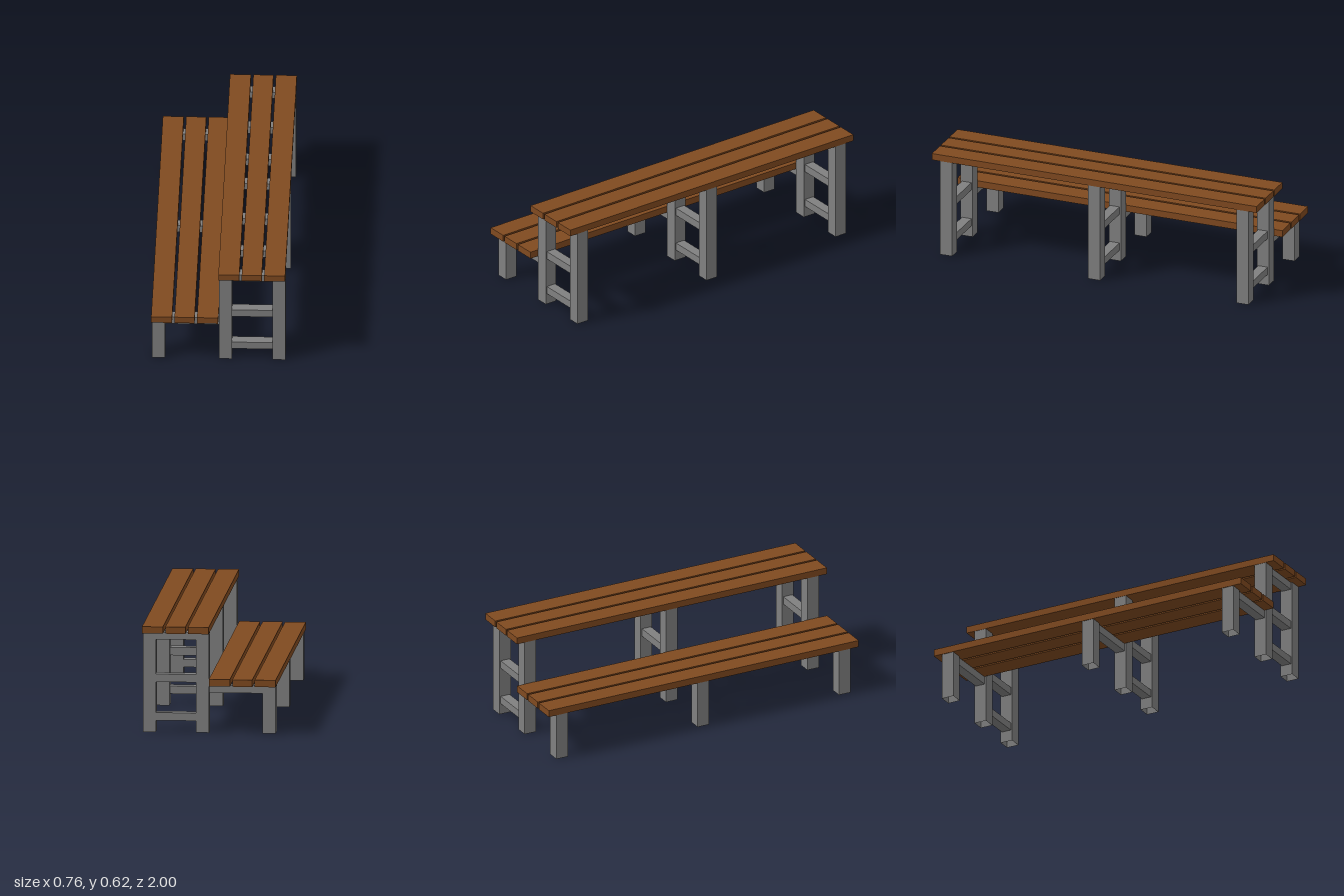
import * as THREE from 'three';

export function createModel() {
  const model = new THREE.Group();
  model.name = 'steppedBench';

  const wood = new THREE.MeshStandardMaterial({ color: 0x804a20 });
  wood.name = 'brown wood';
  const metal = new THREE.MeshStandardMaterial({ color: 0x808080, side: THREE.DoubleSide });
  metal.name = 'grey metal';

  // Box given by its x and y limits, centre z and depth
  function bar(parent, name, material, x0, x1, y0, y1, z, depth) {
    const mesh = new THREE.Mesh(new THREE.BoxGeometry(x1 - x0, y1 - y0, depth), material);
    mesh.position.set((x0 + x1) / 2, (y0 + y1) / 2, z);
    mesh.name = name;
    parent.add(mesh);
  }

  // Square hollow leg, open at its ends
  const legWidth = 0.074;
  function leg(parent, name, x, height) {
    const r = legWidth / Math.SQRT2;
    const geometry = new THREE.CylinderGeometry(r, r, height, 4, 1, true)
      .rotateY(Math.PI / 4).toNonIndexed();
    geometry.computeVertexNormals();
    const mesh = new THREE.Mesh(geometry, metal);
    mesh.position.set(x, height / 2, 0);
    mesh.name = name;
    parent.add(mesh);
  }

  // Three planks for each level
  const levels = [
    { name: 'lowerPlank', y0: 0.276, y1: 0.316, spans: [[-0.382, -0.263], [-0.249, -0.135], [-0.121, -0.001]] },
    { name: 'upperPlank', y0: 0.576, y1: 0.615, spans: [[0, 0.119], [0.133, 0.247], [0.261, 0.38]] },
  ];
  for (const { name, y0, y1, spans } of levels) {
    for (const [x0, x1] of spans) bar(model, name, wood, x0, x1, y0, y1, 0, 2);
  }

  // Three support frames along the length
  for (const z of [-0.912, 0, 0.912]) {
    const frame = new THREE.Group();
    frame.name = 'supportFrame';
    frame.position.z = z;
    leg(frame, 'lowerLeg', -0.341, 0.276);
    leg(frame, 'innerLeg', 0.039, 0.576);
    leg(frame, 'outerLeg', 0.343, 0.576);
    bar(frame, 'lowerRail', metal, -0.304, 0.001, 0.23, 0.2755, 0, 0.058);
    for (const [y0, y1] of [[0.066, 0.111], [0.288, 0.334], [0.533, 0.5755]]) {
      bar(frame, 'crossRail', metal, 0.076, 0.306, y0, y1, 0, 0.058);
    }
    model.add(frame);
  }
  return model;
}
